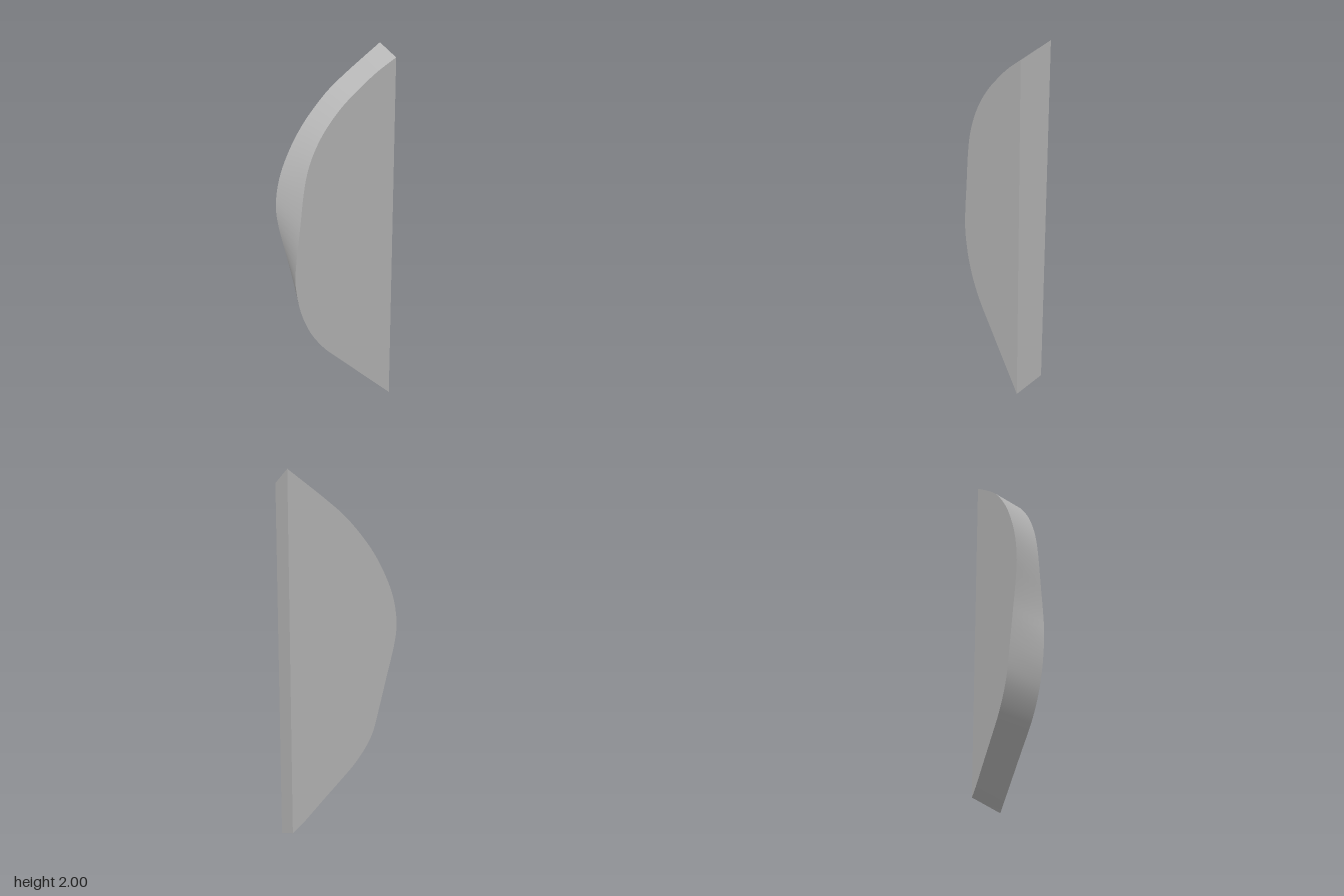
import * as THREE from 'three';

const HALF = 0.08; // half thickness
const STEPS = 64;

// Outlines run from the bottom corner, round the bulging edge, to the top corner
const frontOutline = [
  [0.315, 0], [0.21, 0.093], [0.1, 0.19], [0, 0.277], [-0.08, 0.345], [-0.13, 0.395], [-0.2, 0.49],
  [-0.25, 0.6], [-0.275, 0.7], [-0.286, 0.8], [-0.28, 0.89], [-0.255, 1.08], [-0.227, 1.29],
  [-0.2, 1.4], [-0.15, 1.51], [-0.09, 1.6], [0, 1.7], [0.1, 1.785], [0.2, 1.86], [0.315, 1.93],
];
const backOutline = [
  [0.315, 0.07], [0.267, 0.105], [0.13, 0.23], [0, 0.348], [-0.06, 0.405], [-0.11, 0.465], [-0.15, 0.525],
  [-0.178, 0.583], [-0.2, 0.66], [-0.255, 0.875], [-0.306, 1.08], [-0.316, 1.17], [-0.305, 1.27],
  [-0.28, 1.36], [-0.23, 1.47], [-0.17, 1.57], [-0.1, 1.66], [0, 1.765], [0.1, 1.845], [0.315, 2],
];

const sample = (outline, z) =>
  new THREE.CatmullRomCurve3(outline.map(([x, y]) => new THREE.Vector3(x, y, z))).getSpacedPoints(STEPS);

function build(points, index) {
  const geometry = new THREE.BufferGeometry().setFromPoints(points);
  geometry.setIndex(index);
  geometry.computeVertexNormals();
  return geometry;
}

// Flat convex face, fanned from the bottom corner
function cap(points, facesFront) {
  const index = [];
  for (let i = 1; i < points.length - 1; i++) {
    index.push(0, ...(facesFront ? [i + 1, i] : [i, i + 1]));
  }
  return build(points, index);
}

export function createModel() {
  const group = new THREE.Group();
  group.name = 'bevelledSlab';
  const grey = new THREE.MeshStandardMaterial({ color: 0xb4b4b4 });
  grey.name = 'grey';
  const add = (name, geometry) => {
    const mesh = new THREE.Mesh(geometry, grey);
    mesh.name = name;
    group.add(mesh);
  };

  const front = sample(frontOutline, HALF);
  const back = sample(backOutline, -HALF);
  add('frontFace', cap(front, true));
  add('backFace', cap(back, false));

  // Smooth band joining the two outlines
  const n = STEPS + 1;
  const band = [];
  for (let i = 0; i < STEPS; i++) {
    band.push(i, i + 1, n + i, i + 1, n + i + 1, n + i);
  }
  add('curvedEdge', build([...front, ...back], band));

  // Straight upright edge
  add('straightEdge', build([front[0], back[0], back[STEPS], front[STEPS]], [0, 1, 2, 0, 2, 3]));
  return group;
}
